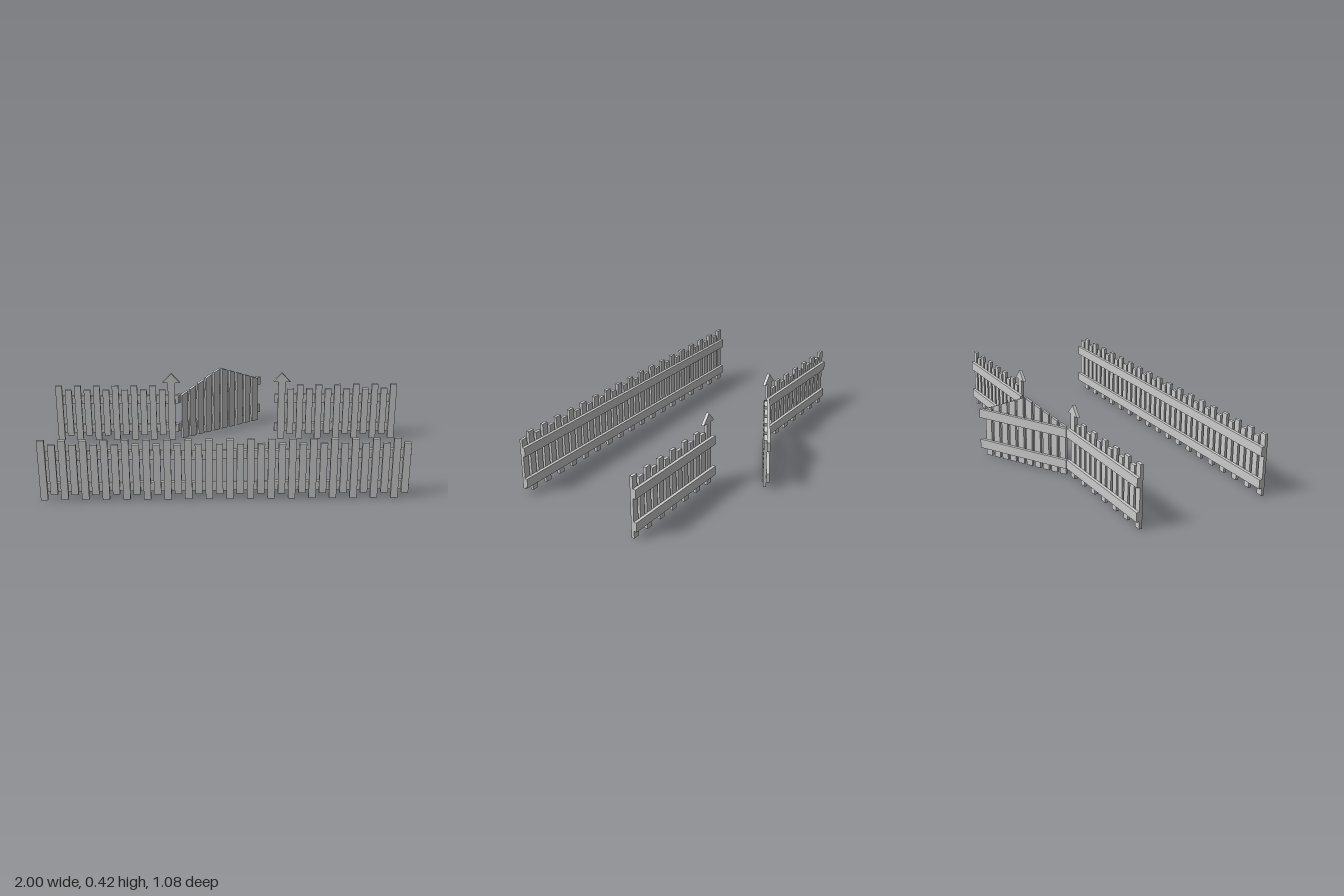
import * as THREE from 'three';

const material = new THREE.MeshStandardMaterial({ color: 0xcccccc, flatShading: true });
const PITCH = 0.0545, SLAT = 0.038, DEPTH = 0.017;
const RAIL_Y = [0.068, 0.251], RAIL_H = 0.052;

function add(group, geometry, name, x = 0, y = 0, z = 0) {
  const mesh = new THREE.Mesh(geometry, material);
  mesh.name = name;
  mesh.position.set(x, y, z);
  group.add(mesh);
}

// Flat board cut from an outline, its back on z = 0
function board(points) {
  const shape = new THREE.Shape(points.map(([x, y]) => new THREE.Vector2(x, y)));
  return new THREE.ExtrudeGeometry(shape, { depth: DEPTH, bevelEnabled: false });
}

// Two horizontal rails behind the slats
function addRails(group, x0, x1) {
  for (const y of RAIL_Y)
    add(group, new THREE.BoxGeometry(x1 - x0, RAIL_H, DEPTH), 'rail', (x0 + x1) / 2, y, -DEPTH / 2);
}

// Alternating tall and short slats, from x in steps of pitch
function addSlats(group, x, pitch, count) {
  for (let i = 0; i < count; i++) {
    const [bottom, top] = i % 2 ? [0.03, 0.318] : [0, 0.344];
    add(group, new THREE.BoxGeometry(SLAT, top - bottom, DEPTH), i % 2 ? 'shortSlat' : 'tallSlat',
      x + i * pitch, (bottom + top) / 2, DEPTH / 2);
  }
}

export function createModel() {
  const model = new THREE.Group();
  model.name = 'fenceSet';

  // Long front fence
  const front = new THREE.Group();
  front.name = 'frontFence';
  front.position.z = 0.522;
  addRails(front, -0.991, 0.952);
  addSlats(front, -0.972, 0.0543, 36);
  model.add(front);

  // Two short back fences, each ending in an arrow-topped gate post
  for (const side of [-1, 1]) {
    const back = new THREE.Group();
    back.name = side < 0 ? 'rightBackFence' : 'leftBackFence';
    back.position.z = -0.229;
    const inner = side * 0.283, outer = side * 1;
    addRails(back, Math.min(inner, outer), Math.max(inner, outer));
    addSlats(back, side * 0.98, -side * 0.0548, 12);
    const w = 0.021, head = 0.05;
    add(back, board([[-w, 0], [w, 0], [w, 0.363], [head, 0.363], [0, 0.419], [-head, 0.363], [-w, 0.363]]),
      'gatePost', side * 0.323);
    model.add(back);
  }

  // Open gate with a gabled top line, swung back 30 degrees
  const gate = new THREE.Group();
  gate.name = 'gate';
  gate.position.set(-0.28, 0, -0.237);
  gate.rotation.y = Math.PI / 6;
  addRails(gate, 0, 0.57);
  const start = 0.012, count = 10, width = (count - 1) * PITCH + SLAT;
  const topAt = s => 0.396 - 0.118 * Math.abs((s - start) / (width / 2) - 1);
  for (let i = 0; i < count; i++) {
    const a = start + i * PITCH, b = a + SLAT;
    add(gate, board([[a, 0], [b, 0], [b, topAt(b)], [a, topAt(a)]]), 'gateSlat');
  }
  model.add(gate);

  return model;
}
